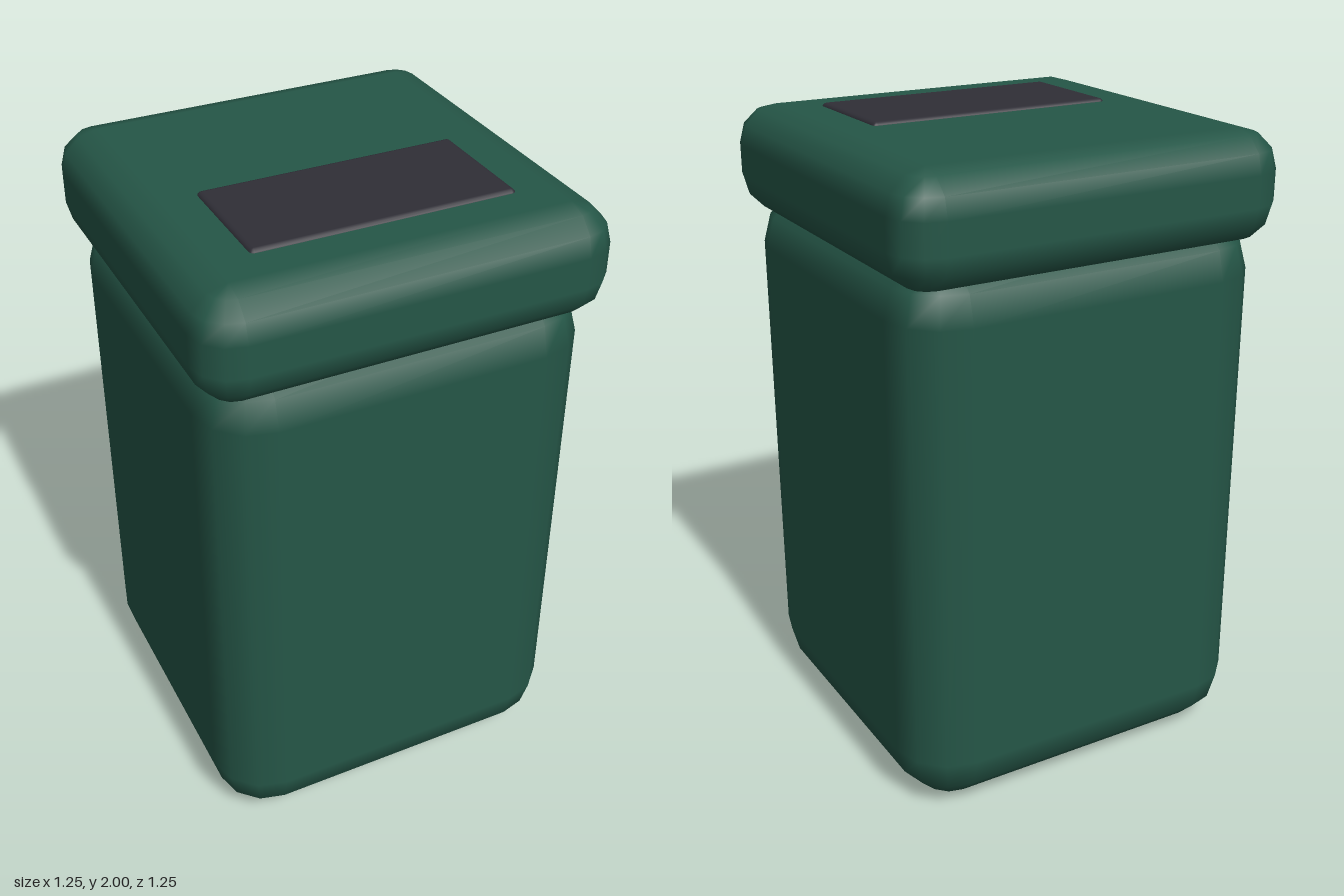
import * as THREE from 'three';

// Box with softly bevelled edges: stacked rounded-rectangle loops, smooth normals
function bevelBox(w, h, d, r, steps = 3) {
  const pos = [], nor = [], idx = [];
  const arc = (i) => (i / steps) * Math.PI / 2;
  const rows = [];
  for (let i = 0; i <= steps; i++) rows.push([arc(i) - Math.PI / 2, -1]);
  for (let i = 0; i <= steps; i++) rows.push([arc(i), 1]);
  const corners = [[1, 1], [-1, 1], [-1, -1], [1, -1]];
  const n = 4 * (steps + 1);

  for (const [phi, sy] of rows) {
    corners.forEach(([sx, sz], c) => {
      for (let i = 0; i <= steps; i++) {
        const t = c * Math.PI / 2 + arc(i);
        const nx = Math.cos(phi) * Math.cos(t), ny = Math.sin(phi), nz = Math.cos(phi) * Math.sin(t);
        pos.push(sx * (w / 2 - r) + nx * r, sy * (h / 2 - r) + ny * r, sz * (d / 2 - r) + nz * r);
        nor.push(nx, ny, nz);
      }
    });
  }
  // Sides between neighbouring loops
  for (let k = 0; k < rows.length - 1; k++) {
    for (let i = 0; i < n; i++) {
      const a = k * n + i, b = k * n + (i + 1) % n;
      idx.push(a, a + n, b, b, a + n, b + n);
    }
  }
  // Flat bottom and top
  const s = steps + 1, top = (rows.length - 1) * n;
  idx.push(0, s, 2 * s, 0, 2 * s, 3 * s);
  idx.push(top, top + 2 * s, top + s, top, top + 3 * s, top + 2 * s);

  const g = new THREE.BufferGeometry();
  g.setAttribute('position', new THREE.Float32BufferAttribute(pos, 3));
  g.setAttribute('normal', new THREE.Float32BufferAttribute(nor, 3));
  g.setIndex(idx);
  return g;
}

export function createModel() {
  const green = new THREE.MeshStandardMaterial({ color: 0x255647 });
  green.name = 'dark green';
  const charcoal = new THREE.MeshStandardMaterial({ color: 0x2f2e36 });
  charcoal.name = 'charcoal';

  const model = new THREE.Group();
  model.name = 'bin';
  const add = (name, geometry, material, x, y, z) => {
    const mesh = new THREE.Mesh(geometry, material);
    mesh.name = name;
    mesh.position.set(x, y, z);
    model.add(mesh);
  };

  // Tall body, its top tucked inside the lid
  add('body', bevelBox(1.19, 1.74, 1.19, 0.18), green, 0, 0.87, 0);
  // Overhanging lid
  add('lid', bevelBox(1.25, 0.335, 1.25, 0.12), green, 0, 1.8225, 0);
  // Dark slot panel near the front of the lid
  add('slotPanel', bevelBox(0.8, 0.04, 0.38, 0.015), charcoal, 0, 1.98, 0.21);

  return model;
}
